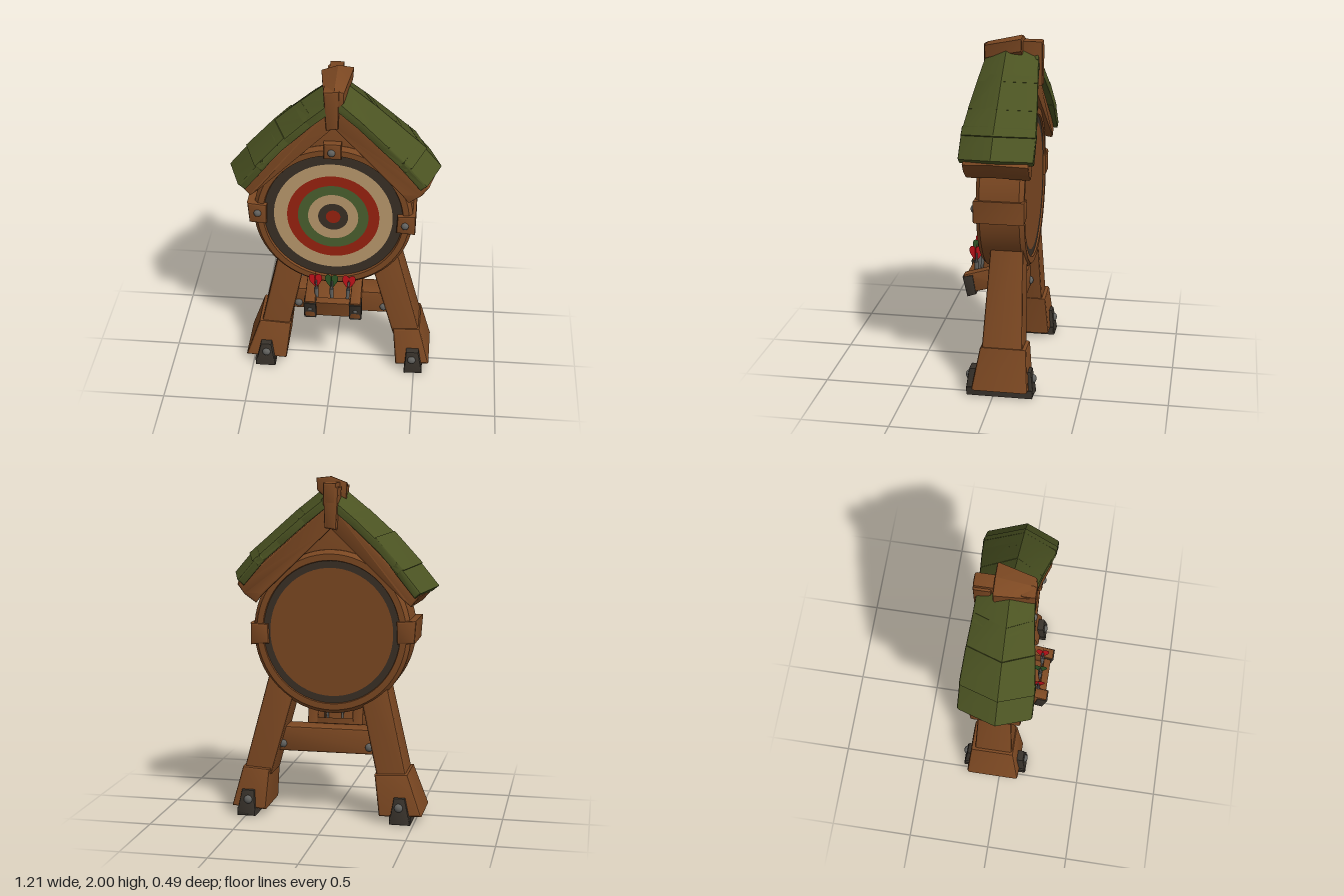
import * as THREE from 'three';
import { toCreasedNormals } from 'three/addons/utils/BufferGeometryUtils.js';

const material = (name, color, side = THREE.FrontSide) => {
  const m = new THREE.MeshStandardMaterial({ color, side });
  m.name = name;
  return m;
};

export function createModel() {
  const wood = material('wood', 0x7c4822);
  const shingleGreen = material('shingle green', 0x4b5322);
  const iron = material('dark iron', 0x38322b);
  const boltGrey = material('bolt grey', 0x62625f);
  const ringDark = material('ring dark', 0x3a2f25);
  const cream = material('ring cream', 0xb8986c);
  const ringRed = material('ring red', 0x98210f);
  const ringGreen = material('ring green', 0x4a5f2e);
  const dartRed = material('dart red', 0xc4121a, THREE.DoubleSide);
  const dartGreen = material('dart green', 0x2f5526, THREE.DoubleSide);

  const model = new THREE.Group();
  const add = (name, geometry, mat, parent = model) => {
    const mesh = new THREE.Mesh(geometry, mat);
    mesh.name = name;
    parent.add(mesh);
    return mesh;
  };

  // Bevelled slab: outline in x/y, running from z0 to z1, optionally reshaped by a rule
  const slab = (points, z0, z1, { bevel = 0.012, bevelZ = bevel, steps = 1, warp, sideways } = {}) => {
    const shape = new THREE.Shape(points.map(([x, y]) => new THREE.Vector2(x, y)));
    const g = new THREE.ExtrudeGeometry(shape, {
      depth: z1 - z0 - 2 * bevelZ, steps, bevelSize: bevel, bevelThickness: bevelZ,
      bevelOffset: -bevel, bevelSegments: 2,
    });
    g.translate(0, 0, z0 + bevelZ);
    if (sideways) g.rotateY(-Math.PI / 2);
    if (warp) {
      const p = g.attributes.position, v = new THREE.Vector3();
      for (let i = 0; i < p.count; i++) {
        warp(v.fromBufferAttribute(p, i));
        p.setXYZ(i, v.x, v.y, v.z);
      }
    }
    return toCreasedNormals(g, 0.45);
  };
  const rect = (x0, x1, y0, y1) => [[x0, y0], [x1, y0], [x1, y1], [x0, y1]];

  const bolt = (x, y, z, r = 0.022) => {
    const b = add('bolt', new THREE.SphereGeometry(r, 14, 10), boltGrey);
    b.scale.z = 0.7;
    b.position.set(x, y, z);
  };

  // Round target: rim, coloured rings and back board
  const target = new THREE.Group();
  target.name = 'target';
  target.position.set(-0.003, 1.105, 0);
  target.scale.y = 1.035;
  model.add(target);
  const rim = [[0.4, -0.145], [0.405, -0.16], [0.44, -0.16], [0.462, -0.135], [0.462, 0.09],
    [0.442, 0.112], [0.408, 0.112], [0.4, 0.09]].map(([r, h]) => new THREE.Vector2(r, h));
  const rimGeometry = new THREE.LatheGeometry(rim, 64);
  rimGeometry.rotateX(Math.PI / 2);
  add('rim', toCreasedNormals(rimGeometry, 0.6), wood, target);
  const radii = [0, 0.042, 0.087, 0.146, 0.205, 0.268, 0.345, 0.405];
  const ringMats = [ringRed, ringDark, cream, ringGreen, ringRed, cream, ringDark];
  ringMats.forEach((mat, i) => {
    add('target ring', new THREE.RingGeometry(radii[i], radii[i + 1], 64), mat, target).position.z = 0.098;
  });
  [[0, 0.362, wood, 'back board'], [0.362, 0.405, ringDark, 'back ring']].forEach(([a, b, mat, name]) => {
    const back = add(name, new THREE.RingGeometry(a, b, 64), mat, target);
    back.rotation.y = Math.PI;
    back.position.z = -0.15;
  });

  // Clasps holding the rim
  add('top clasp', slab(rect(-0.055, 0.045, 1.51, 1.61), 0, 0.128), wood);
  add('right clasp', slab([[-0.49, 1.055], [-0.39, 1.05], [-0.385, 1.18], [-0.5, 1.19]], -0.168, 0.126), wood);
  add('left clasp', slab([[0.365, 1.03], [0.475, 1.02], [0.475, 1.15], [0.37, 1.145]], -0.168, 0.126), wood);
  bolt(-0.01, 1.555, 0.13);
  bolt(-0.44, 1.125, 0.13);
  bolt(0.415, 1.085, 0.13);

  // Gable panel behind the target
  add('gable panel', slab([[0, 1.76], [-0.43, 1.34], [-0.36, 1.15], [0.36, 1.15], [0.43, 1.34]], -0.125, 0.088), wood);

  // Roof parts bend outward along the middle and flare toward the eaves
  const roofWarp = (side, dx, dy, width) => (v) => {
    const flare = Math.min(1, Math.abs(v.x) / 0.4);
    const middle = 1 - Math.abs(v.z);
    v.z *= width * (v.z > 0 ? 0.12 + 0.075 * flare : 0.175 + 0.05 * flare);
    v.x += side * dx * middle;
    v.y += dy * middle;
  };
  const roofBoards = [
    [-1, [[0, 1.85], [-0.525, 1.335], [-0.47, 1.27], [-0.42, 1.31], [0, 1.7]]],
    [1, [[0, 1.85], [0.54, 1.375], [0.5, 1.32], [0.43, 1.27], [0.39, 1.32], [0, 1.7]]],
  ];
  for (const [side, points] of roofBoards) {
    add('roof board', slab(points, -1, 1,
      { bevelZ: 0.06, steps: 2, warp: roofWarp(side, 0.045, 0.02, 0.88) }), wood);
  }

  // Shingles: upper and lower end of each top edge
  const shingles = [
    [-1, [[-0.05, 1.925, -0.235, 1.775], [-0.195, 1.81, -0.385, 1.64],
      [-0.345, 1.685, -0.51, 1.505], [-0.465, 1.55, -0.607, 1.375]]],
    [1, [[0.07, 1.925, 0.25, 1.78], [0.215, 1.81, 0.39, 1.655],
      [0.355, 1.685, 0.52, 1.54], [0.475, 1.58, 0.607, 1.425]]],
  ];
  for (const [side, rows] of shingles) {
    for (const [x0, y0, x1, y1] of rows) {
      const dx = 0.075, dy = 0.02, thick = 0.05;
      const length = Math.hypot(x1 - x0, y1 - y0);
      const nx = side * (y1 - y0) / length * thick, ny = -Math.abs(x1 - x0) / length * thick;
      const outline = [[x0, y0], [x1, y1], [x1 + nx, y1 + ny], [x0 + nx, y0 + ny]]
        .map(([x, y]) => [x - side * dx, y - dy]);
      add('shingle', slab(outline, -1, 1,
        { bevel: 0.01, bevelZ: 0.05, steps: 2, warp: roofWarp(side, dx, dy, 1) }), shingleGreen);
    }
  }

  // Ridge beam, crooked cap and hanging posts
  add('ridge beam', slab(rect(-0.042, 0.035, 1.84, 1.965), -0.2, 0), wood);
  add('ridge cap', slab([[-0.085, 1.965], [0.01, 2.0], [0.1, 1.99], [0.095, 1.92], [0.05, 1.88], [-0.08, 1.87]],
    -0.09, 0.13, { warp: (v) => {
      const t = (v.z + 0.09) / 0.22;
      v.y -= 0.05 * t;
      v.x *= 1 - 0.4 * t;
    } }), wood);
  const post = [[-0.04, 1.7], [0.028, 1.71], [0.035, 1.95], [-0.055, 1.94]];
  add('front post', slab(post, 0.05, 0.137), wood);
  add('back post', slab(post, -0.2, -0.1), wood);

  // Legs and feet, narrowing in depth as they rise
  const taper = (yLow, low, yHigh, high) => (v) => {
    const t = (v.y - yLow) / (yHigh - yLow);
    const back = THREE.MathUtils.lerp(low[0], high[0], t), front = THREE.MathUtils.lerp(low[1], high[1], t);
    v.z = back + v.z * (front - back);
  };
  const legs = [
    { leg: [[-0.455, 0.24], [-0.28, 0.24], [-0.14, 0.9], [-0.305, 0.92]],
      foot: [[-0.545, 0.045], [-0.295, 0.035], [-0.265, 0.28], [-0.46, 0.29]],
      strap: [[-0.485, 0], [-0.36, 0], [-0.385, 0.155], [-0.45, 0.155]], bolt: -0.415 },
    { leg: [[0.36, 0.24], [0.53, 0.24], [0.35, 0.92], [0.175, 0.9]],
      foot: [[0.385, 0.035], [0.59, 0.05], [0.525, 0.29], [0.362, 0.28]],
      strap: [[0.44, 0], [0.55, 0.02], [0.525, 0.155], [0.45, 0.155]], bolt: 0.485 },
  ];
  for (const l of legs) {
    add('leg', slab(l.leg, 0, 1, { bevelZ: 0.06, warp: taper(0.28, [-0.165, 0.07], 0.85, [-0.145, 0.042]) }), wood);
    add('foot', slab(l.foot, 0, 1, { bevelZ: 0.05, warp: taper(0.045, [-0.207, 0.122], 0.28, [-0.188, 0.08]) }), wood);
    // Iron strap under the foot with upright ends
    const lean = (s) => (v) => { v.z -= s * 0.13 * v.y; };
    add('strap front', slab(l.strap, 0.1, 0.163, { bevel: 0.008, warp: lean(1) }), iron);
    add('strap back', slab(l.strap, -0.238, -0.18, { bevel: 0.008, warp: lean(-1) }), iron);
    const [a, b] = [l.strap[0][0], l.strap[1][0]];
    add('strap sole', slab(rect(a, b, 0, 0.048), -0.23, 0.155, { bevel: 0.006 }), iron);
    bolt(l.bolt, 0.1, 0.15, 0.025);
    bolt(l.bolt, 0.1, -0.226, 0.025);
  }

  // Crossbar between the legs
  add('crossbar', slab([[-0.31, 0.375], [0.37, 0.375], [0.33, 0.525], [-0.27, 0.525]], -0.1, 0.04), wood);
  for (const x of [-0.22, 0.3]) {
    bolt(x, 0.42, 0.042, 0.024);
    bolt(x, 0.42, -0.102, 0.024);
  }

  // Dart tray: arms, iron brackets, floor and front board (outlines in z/y)
  for (const side of [-1, 1]) {
    const x = side * 0.135 + 0.005;
    add('tray arm', slab([[0, 0.53], [0.165, 0.485], [0.225, 0.465], [0.24, 0.585], [0.19, 0.6], [0.02, 0.65]],
      -x - 0.032, -x + 0.032, { sideways: true, bevel: 0.008 }), wood);
    add('tray bracket', slab([[0.165, 0.468], [0.218, 0.45], [0.246, 0.573], [0.185, 0.588]],
      -x - 0.037, -x + 0.037, { sideways: true, bevel: 0.006 }), iron);
    bolt(x, 0.525, 0.232, 0.014);
  }
  add('tray floor', slab([[0, 0.53], [0.2, 0.465], [0.2, 0.5], [0, 0.565]], -0.115, 0.105,
    { sideways: true, bevel: 0.006 }), wood);
  add('tray front', slab([[0.17, 0.47], [0.207, 0.46], [0.23, 0.572], [0.19, 0.582]], -0.115, 0.105,
    { sideways: true, bevel: 0.008 }), wood);

  // Darts with crossed heart-shaped flights
  const heart = new THREE.Shape();
  heart.moveTo(0, 0);
  heart.bezierCurveTo(0.02, 0.025, 0.05, 0.06, 0.036, 0.09);
  heart.bezierCurveTo(0.026, 0.108, 0.008, 0.1, 0, 0.085);
  heart.bezierCurveTo(-0.008, 0.1, -0.026, 0.108, -0.036, 0.09);
  heart.bezierCurveTo(-0.05, 0.06, -0.02, 0.025, 0, 0);
  const flight = new THREE.ShapeGeometry(heart, 8);
  [[-0.09, dartRed, 0.05], [-0.005, dartGreen, 0], [0.085, dartRed, -0.06]].forEach(([x, mat, tilt]) => {
    const dart = new THREE.Group();
    dart.name = 'dart';
    dart.position.set(x, 0.5, 0.178);
    dart.rotation.z = tilt;
    model.add(dart);
    add('dart shaft', new THREE.CylinderGeometry(0.007, 0.007, 0.2, 8), boltGrey, dart).position.y = 0.1;
    add('dart barrel', new THREE.CylinderGeometry(0.013, 0.01, 0.09, 10), boltGrey, dart).position.y = 0.1;
    for (const turn of [0, Math.PI / 2]) {
      const f = add('dart flight', flight, mat, dart);
      f.position.y = 0.145;
      f.rotation.y = turn;
    }
  });

  return model;
}
